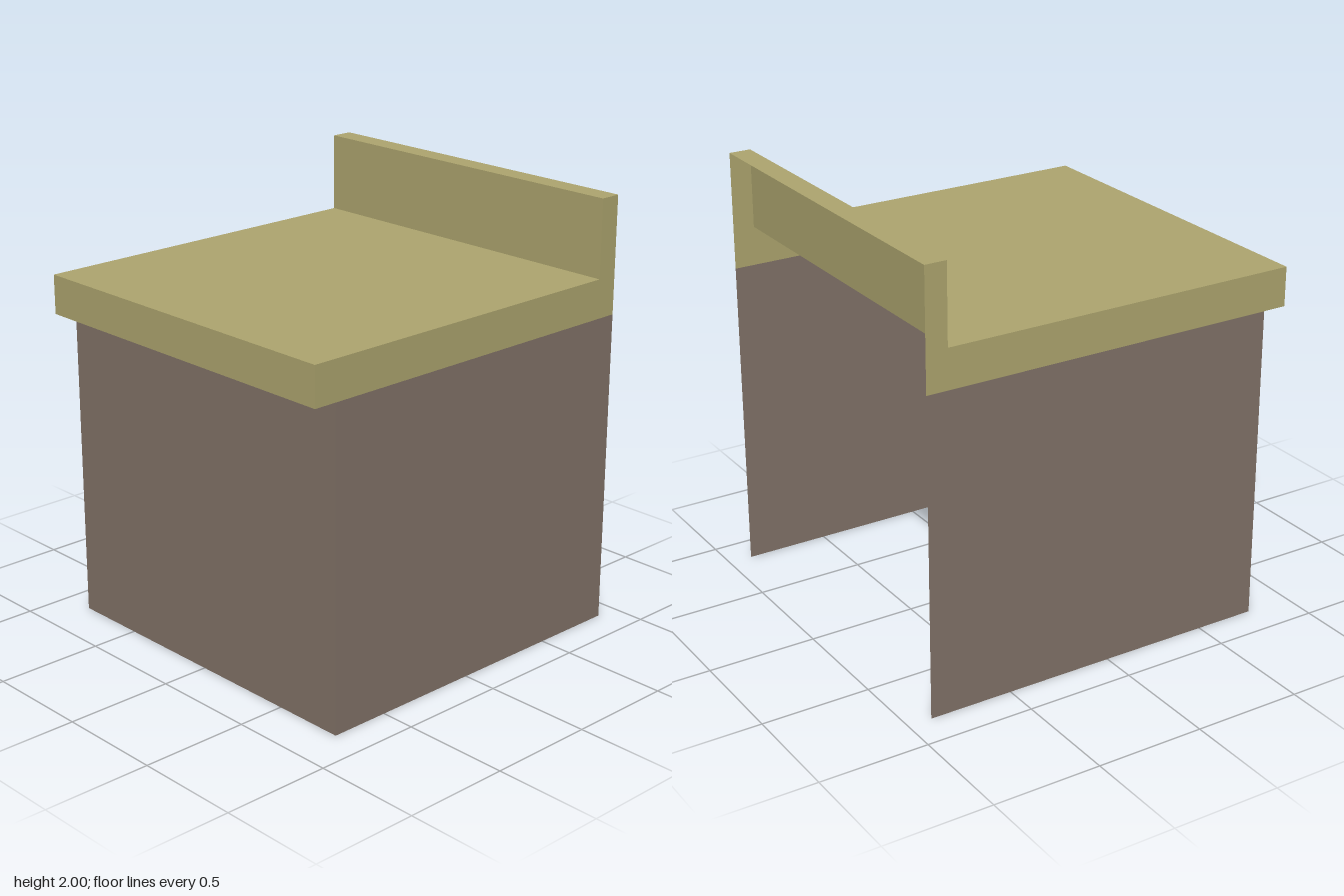
import * as THREE from 'three';

const HALF_W = 0.84, BACK = -0.89, FRONT = 0.89, WALL_FRONT = 0.78;
const LEDGE = 1.46, SEAT = 1.64, TOP = 2, REST_FRONT = -0.79;

export function createModel() {
  const olive = new THREE.MeshStandardMaterial({ color: 0xaea66f, side: THREE.DoubleSide });
  olive.name = 'olive top';
  const brown = new THREE.MeshStandardMaterial({ color: 0x827368, side: THREE.DoubleSide });
  brown.name = 'brown wall';

  const group = new THREE.Group();
  group.name = 'bench';

  const add = (name, geometry, material) => {
    const mesh = new THREE.Mesh(geometry, material);
    mesh.name = name;
    group.add(mesh);
  };

  // Full-width sheet between two [z, y] points of the side profile
  const sheet = (name, [z0, y0], [z1, y1], material) => {
    const geo = new THREE.PlaneGeometry(2 * HALF_W, Math.hypot(z1 - z0, y1 - y0));
    geo.rotateX(Math.atan2(z1 - z0, y1 - y0));
    geo.translate(0, (y0 + y1) / 2, (z0 + z1) / 2);
    add(name, geo, material);
  };

  // Matching left (+x) and right (-x) sheets cut from a [z, y] outline
  const sidePair = (name, outline, material) => {
    for (const side of [1, -1]) {
      const shape = new THREE.Shape(outline.map(([z, y]) => new THREE.Vector2(-side * z, y)));
      const geo = new THREE.ShapeGeometry(shape);
      geo.rotateY(side * Math.PI / 2);
      geo.translate(side * HALF_W, 0, 0);
      add((side > 0 ? 'left' : 'right') + name, geo, material);
    }
  };

  // Folded top: ledge, front lip, seat, backrest; open at the rear
  const profile = [
    [WALL_FRONT, LEDGE], [FRONT, LEDGE], [FRONT, SEAT],
    [REST_FRONT, SEAT], [REST_FRONT, TOP], [BACK, TOP],
  ];
  const names = ['lipUnderside', 'frontLip', 'seat', 'backrestFront', 'backrestTop'];
  names.forEach((name, i) => sheet(name, profile[i], profile[i + 1], olive));
  sidePair('TopSide', [...profile.slice(1), [BACK, LEDGE]], olive);

  // Base walls; open at the rear and underneath
  sheet('frontWall', [WALL_FRONT, 0], [WALL_FRONT, LEDGE], brown);
  sidePair('Wall', [[BACK, 0], [WALL_FRONT, 0], [WALL_FRONT, LEDGE], [BACK, LEDGE]], brown);

  return group;
}
